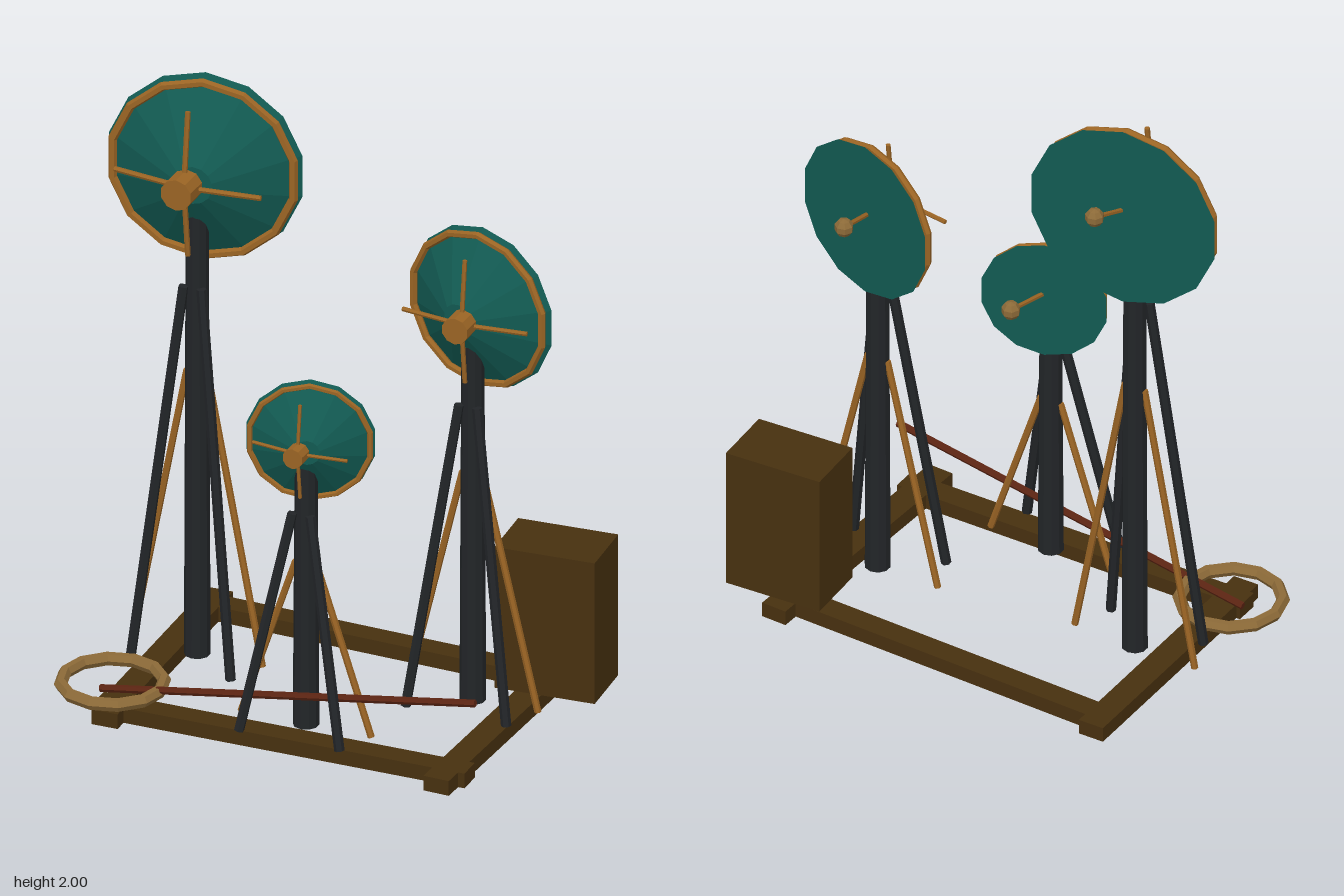
import * as THREE from 'three';

const mat = (name, color) => {
  const m = new THREE.MeshStandardMaterial({ color, flatShading: true });
  m.name = name;
  return m;
};

export function createModel() {
  const model = new THREE.Group();
  model.name = 'dishArray';
  const teal = mat('teal', 0x125a52);
  const iron = mat('dark iron', 0x222528);
  const brass = mat('brass', 0x9a6424);
  const wood = mat('dark wood', 0x47300f);
  const tan = mat('pale brass', 0x8c6a38);
  const rust = mat('rust red', 0x5c2412);
  const V = (x, y, z) => new THREE.Vector3(x, y, z);

  const add = (parent, name, geo, material, pos = V(0, 0, 0)) => {
    const mesh = new THREE.Mesh(geo, material);
    mesh.name = name;
    mesh.position.copy(pos);
    parent.add(mesh);
    return mesh;
  };

  // Round bar between two points
  const bar = (parent, name, a, b, r, material, sides = 6) => {
    const d = b.clone().sub(a);
    const mesh = add(parent, name, new THREE.CylinderGeometry(r, r, d.length(), sides), material,
      a.clone().add(b).multiplyScalar(0.5));
    mesh.quaternion.setFromUnitVectors(V(0, 1, 0), d.normalize());
    return mesh;
  };

  // Base frame of four slightly crooked beams
  const beam = (name, x1, z1, x2, z2, w) => {
    const dx = x2 - x1, dz = z2 - z1;
    const mesh = add(model, name, new THREE.BoxGeometry(Math.hypot(dx, dz), 0.05, w), wood,
      V((x1 + x2) / 2, 0.025, (z1 + z2) / 2));
    mesh.rotation.y = Math.atan2(-dz, dx);
  };
  beam('leftBeam', 0.573, -0.475, 0.55, 0.425, 0.086);
  beam('rightBeam', -0.58, -0.475, -0.557, 0.43, 0.086);
  beam('frontBeam', -0.615, 0.345, 0.615, 0.32, 0.08);
  beam('backBeam', -0.62, -0.402, 0.6, -0.38, 0.078);

  // Cabinet on the back corner
  add(model, 'cabinet', new THREE.BoxGeometry(0.325, 0.48, 0.21), wood, V(0.613, 0.29, -0.327))
    .rotation.y = 0.075;

  // Loose hoop and slanting rod
  const hoop = new THREE.TorusGeometry(0.159, 0.021, 6, 12).rotateX(Math.PI / 2);
  add(model, 'hoop', hoop, tan, V(-0.595, 0.08, 0.288));
  bar(model, 'slantingRod', V(-0.63, 0.057, 0.3), V(0.625, 0.264, 0.3), 0.012, rust);

  // Mast with legs, dish, hub, struts and feed; x and z locate the mast, y the dish centre
  const station = (name, x, y, z, R, yaw, feed) => {
    const g = new THREE.Group();
    g.name = name;
    model.add(g);
    const base = 0.05;
    add(g, 'mast', new THREE.CylinderGeometry(0.035, 0.041, y - base, 10), iron, V(x, (y + base) / 2, z));
    for (const s of [-1, 1]) {
      bar(g, 'frontLeg', V(x + s * 0.03, y * 0.78, z + 0.035), V(x + s * 0.168, base, z + 0.125), 0.016, iron);
      bar(g, 'sideBrace', V(x + s * 0.035, y * 0.6, z), V(x + s * 0.218, base, z), 0.011, brass);
    }

    // Conical dish opening to the back, with a hoop standing off its rim
    const depth = 0.48 * R, zRim = z - 0.235 * R;
    const dish = new THREE.Group();
    dish.name = 'dish';
    dish.position.set(x - Math.sin(yaw) * 0.1 * R, y, zRim);
    dish.rotation.y = yaw;
    g.add(dish);
    const cone = new THREE.CylinderGeometry(0.2 * R, R, depth, 14).rotateX(Math.PI / 2);
    add(dish, 'reflector', cone, teal, V(0, 0, depth / 2));
    add(dish, 'rimHoop', new THREE.TorusGeometry(0.935 * R, 0.046 * R, 6, 14).rotateZ(Math.PI / 2),
      brass, V(0, 0, 0.1 * R));

    // Hub and four swept-back struts
    const zHub = zRim + 0.47 * R, len = 0.27 * R;
    const hub = new THREE.CylinderGeometry(0.165 * R, 0.165 * R, len, 10).rotateX(Math.PI / 2);
    add(g, 'hub', hub, brass, V(x, y, zHub + len / 2));
    for (let i = 0; i < 4; i++) {
      const a = i * Math.PI / 2;
      bar(g, 'strut', V(x, y, zHub + 0.08 * R),
        V(x + Math.cos(a) * 0.78 * R, y + Math.sin(a) * 0.78 * R, zHub - 0.015 * R), 0.028 * R, brass);
    }

    // Feed rod and knob behind the dish
    bar(g, 'feedRod', V(x, y + 0.015, zRim + 0.02), feed, 0.008, brass);
    add(g, 'feedKnob', new THREE.SphereGeometry(0.031, 7, 5), tan, feed);
  };
  station('tallStation', -0.464, 1.685, -0.05, 0.314, 0.15, V(-0.452, 1.755, -0.257));
  station('lowStation', 0.036, 1.0, 0.25, 0.203, 0.3, V(0.05, 1.045, 0.048));
  station('middleStation', 0.43, 1.366, -0.113, 0.267, -0.213, V(0.418, 1.427, -0.32));

  return model;
}
